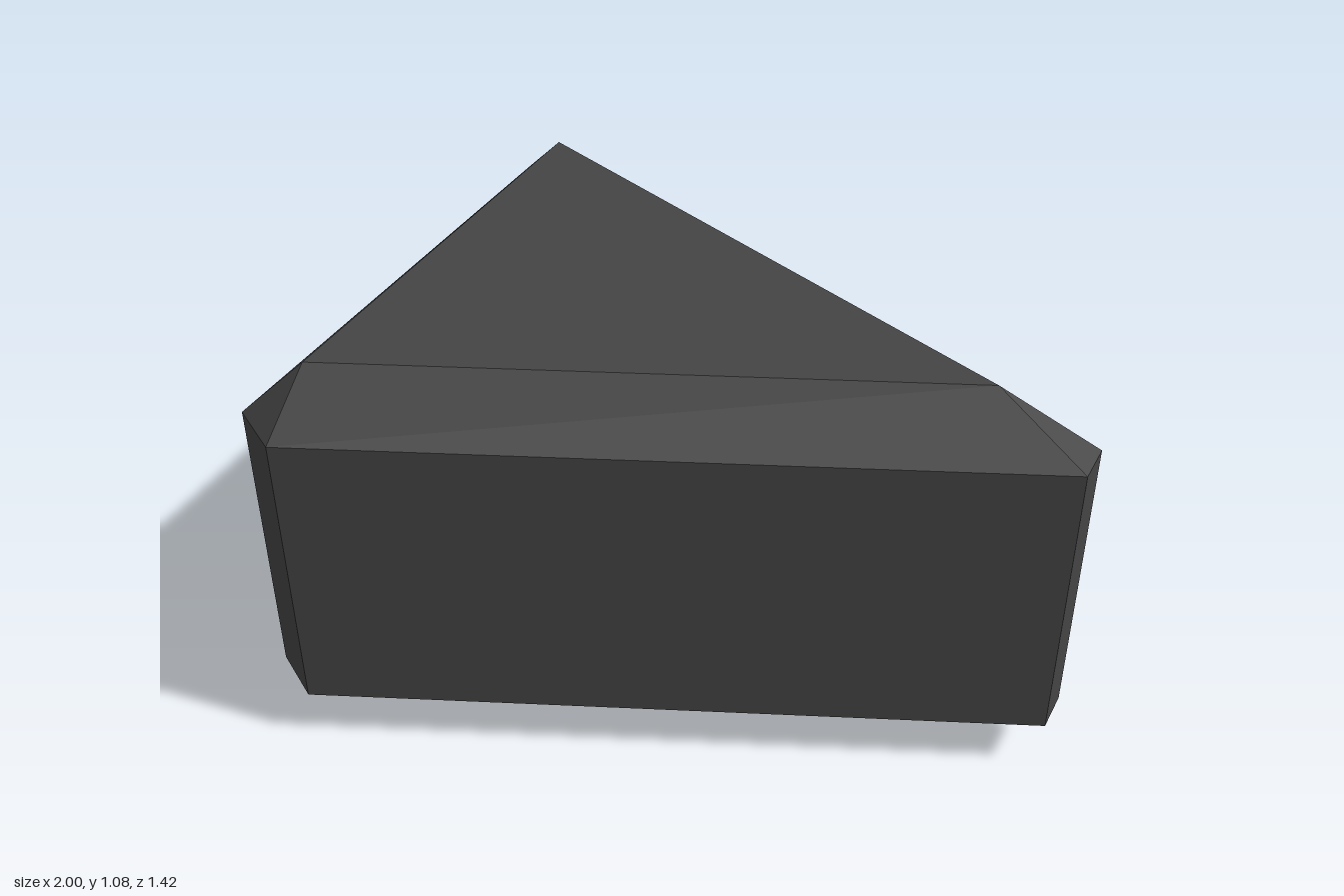
import * as THREE from 'three';
import { ConvexGeometry } from 'three/addons/geometries/ConvexGeometry.js';

// Corners of the flat caps (x, z)
const CAP = [[-0.84, 0.565], [0.755, 0.565], [-0.375, -0.56]];
// Outline of the upright sides, with each corner cut off (x, z)
const SIDE = [[-1, 0.573], [-0.91, 0.706], [0.955, 0.706], [1, 0.605], [-0.325, -0.71], [-0.48, -0.68]];

const HEIGHT = 1.076;
const BEVEL = 0.143;

export function createModel() {
  const group = new THREE.Group();
  group.name = 'wedgeBlock';

  const charcoal = new THREE.MeshStandardMaterial({ color: 0x444444 });
  charcoal.name = 'charcoal';

  // Caps at top and bottom, sides between the two bevels
  const ring = (outline, y) => outline.map(([x, z]) => new THREE.Vector3(x, y, z));
  const points = [
    ...ring(CAP, 0),
    ...ring(SIDE, BEVEL),
    ...ring(SIDE, HEIGHT - BEVEL),
    ...ring(CAP, HEIGHT),
  ];

  const block = new THREE.Mesh(new ConvexGeometry(points), charcoal);
  block.name = 'bevelledBlock';
  group.add(block);
  return group;
}
